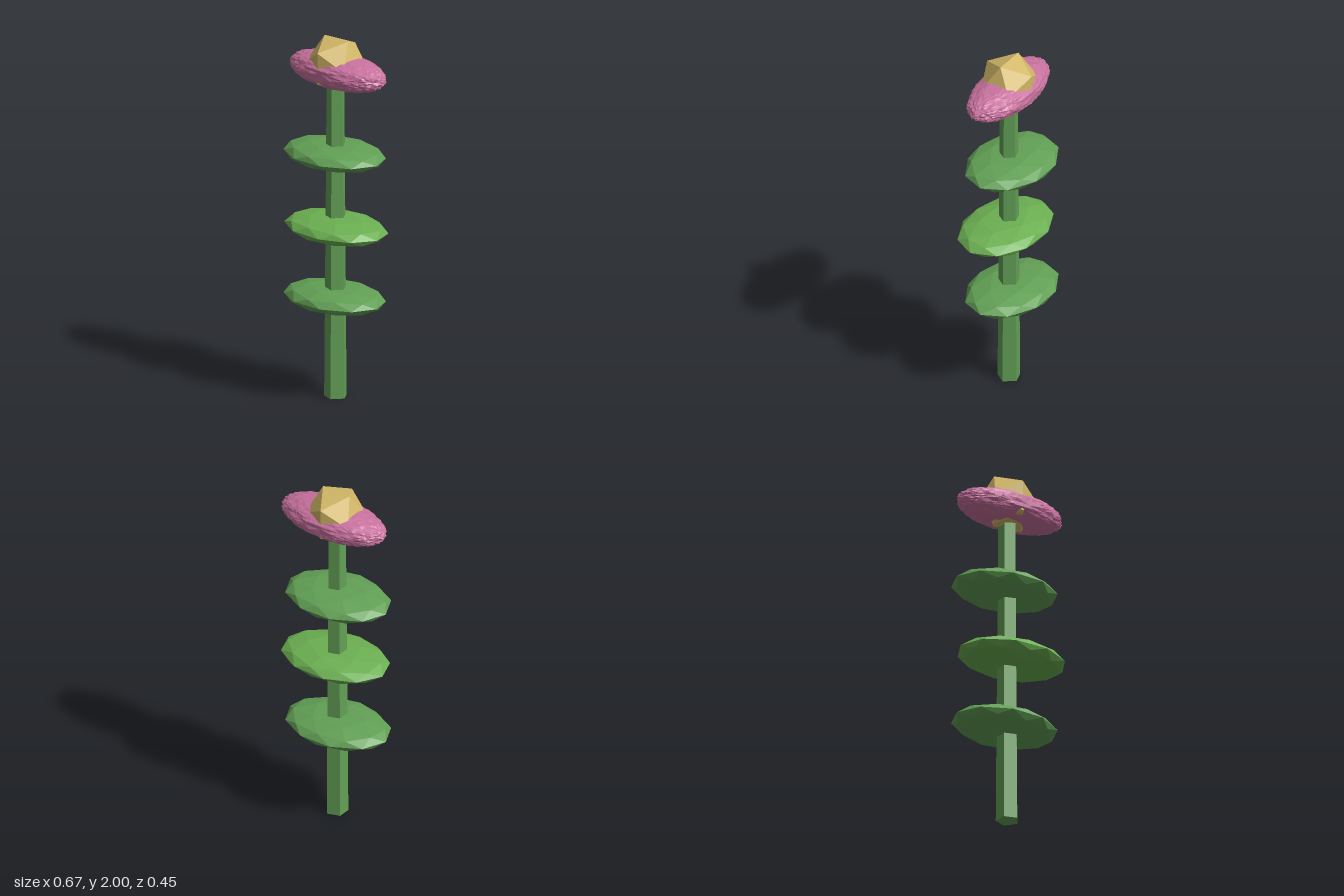
import * as THREE from 'three';

const CX = -0.0135, CZ = 0.003; // stem axis

const paint = (color) => new THREE.MeshStandardMaterial({ color, flatShading: true });

function add(parent, name, geometry, material, x, y, z) {
  const mesh = new THREE.Mesh(geometry, material);
  mesh.name = name;
  mesh.position.set(x, y, z);
  parent.add(mesh);
  return mesh;
}

// Faceted, flattened pad with a ten-sided rim and flat top and bottom
function leafGeometry(turn, rx, ry, rz) {
  const geo = new THREE.IcosahedronGeometry(1, 1);
  geo.rotateZ(-0.5536).rotateY(turn).scale(rx, ry * 1.1, rz);
  const p = geo.attributes.position;
  for (let i = 0; i < p.count; i++) p.setY(i, THREE.MathUtils.clamp(p.getY(i), -ry, ry));
  return geo;
}

// One low-poly shell of the bloom, rolled about x and then stretched
function petalGeometry(roll, tilt) {
  const geo = new THREE.IcosahedronGeometry(1, 1);
  geo.rotateY(0.5 + tilt).rotateZ(tilt).rotateX(roll);
  const p = geo.attributes.position;
  for (let i = 0; i < p.count; i++) {
    const y = p.getY(i);
    p.setXYZ(i, p.getX(i) * 0.33, Math.sign(y) * Math.abs(y) ** 0.85 * 0.091, p.getZ(i) * 0.157);
  }
  return geo;
}

export function createModel() {
  const flower = new THREE.Group();
  flower.name = 'flower';
  const green = paint(0x62a055), lightGreen = paint(0x6cb052);
  const pink = paint(0xc9729f), gold = paint(0xd4b968);

  // Five-sided tapering stem
  add(flower, 'stem', new THREE.CylinderGeometry(0.05, 0.0635, 1.8, 5, 1, false, Math.PI / 2),
    green, CX, 0.9, CZ);

  // Three leaf pads, the middle one turned the other way
  for (let i = 0; i < 3; i++) {
    const middle = i === 1;
    add(flower, 'leaf', leafGeometry(middle ? 0.25 : -0.3, middle ? 0.322 : 0.313, 0.06, 0.226),
      middle ? lightGreen : green, middle ? 0.002 : -0.03, 0.55 + i * 0.4, middle ? 0.015 : -0.004);
  }

  // Spiky bloom of overlapping shells
  const bloom = new THREE.Group();
  bloom.name = 'bloom';
  flower.add(bloom);
  for (let i = 0; i < 10; i++) {
    add(bloom, 'petal', petalGeometry((i * Math.PI) / 5, 0.06 + 0.09 * (i % 3)), pink, 0, 1.822, 0);
  }

  // Golden centre
  add(flower, 'flowerCentre', new THREE.IcosahedronGeometry(0.1663, 0), gold, CX, 1.8585, 0.001);
  return flower;
}
